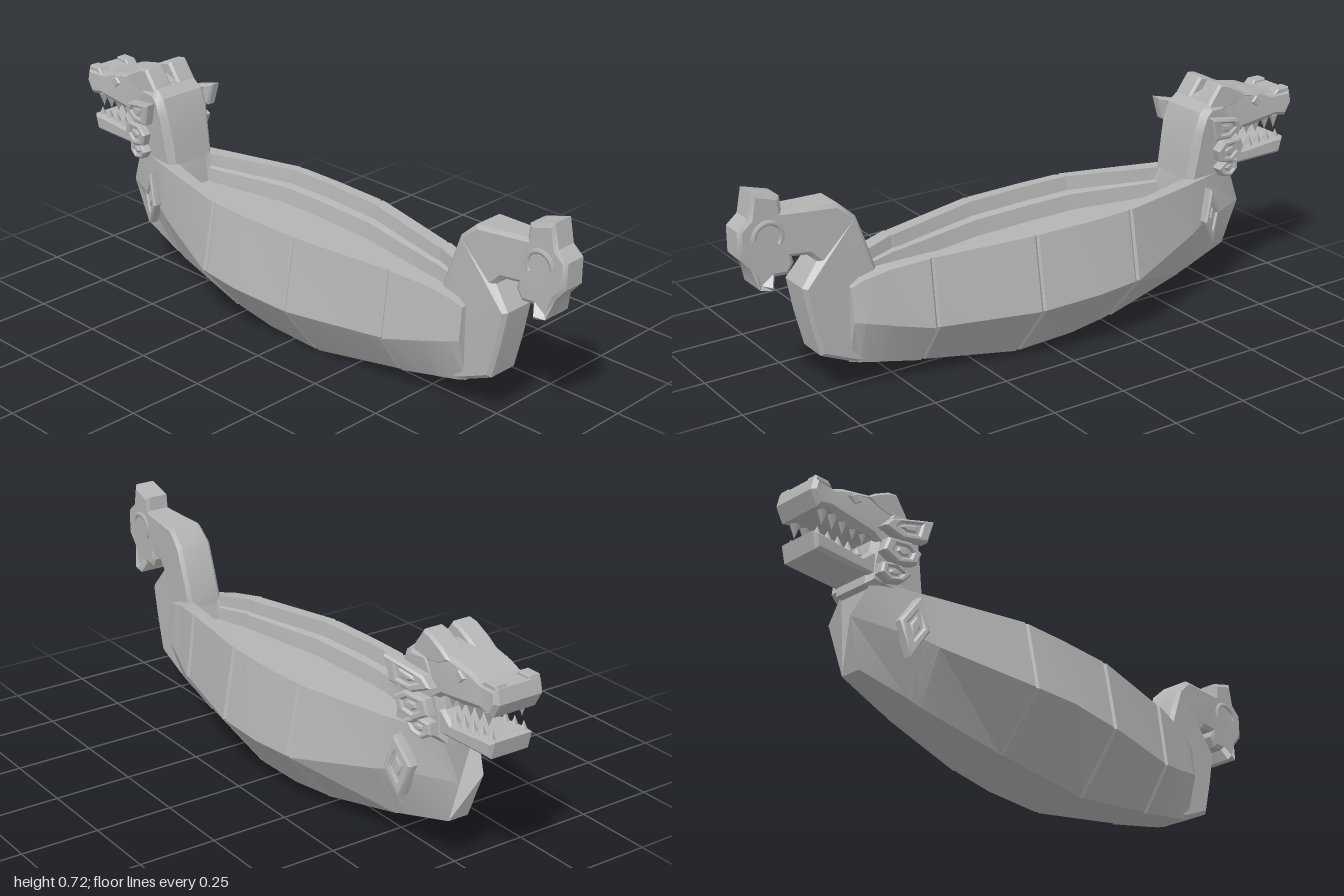
import * as THREE from 'three';
import { toCreasedNormals } from 'three/addons/utils/BufferGeometryUtils.js';

const grey = new THREE.MeshStandardMaterial({ color: 0xb4b4b4 });
grey.name = 'plain grey';

function add(group, name, geometry) {
  const mesh = new THREE.Mesh(geometry, grey);
  mesh.name = name;
  group.add(mesh);
  return mesh;
}

// Side outline of [z, y] points, extruded across x and then shaped by move(x, y, z) => x
function slab(points, halfWidth, bevel, move, hole) {
  const toShape = (list, Type) => new Type(list.map(([z, y]) => new THREE.Vector2(z, y)));
  const outline = toShape(points, THREE.Shape);
  if (hole) outline.holes.push(toShape(hole, THREE.Path));
  const depth = 2 * (halfWidth - bevel);
  const geo = new THREE.ExtrudeGeometry(outline, {
    depth, bevelEnabled: bevel > 0, bevelThickness: bevel, bevelSize: bevel, bevelOffset: -bevel, bevelSegments: 1,
  });
  geo.translate(0, 0, -depth / 2);
  geo.rotateY(-Math.PI / 2);
  if (move) {
    const p = geo.attributes.position;
    for (let i = 0; i < p.count; i++) p.setX(i, move(p.getX(i), p.getY(i), p.getZ(i)));
  }
  return toCreasedNormals(geo, 0.5);
}

function shrink(points, k) {
  const cz = points.reduce((s, p) => s + p[0], 0) / points.length;
  const cy = points.reduce((s, p) => s + p[1], 0) / points.length;
  return points.map(([z, y]) => [cz + (z - cz) * k, cy + (y - cy) * k]);
}

// Hull: keel, chine, rim, inner ledge and floor lofted along z
function hullGeometry() {
  // z, keel y/half width, chine y/half width, rim y/half width, inner half width, well depth, z shifts
  const stations = [
    [-0.76, 0.145, 0.035, 0.29, 0.045, 0.42, 0.065, 0.04, 0, [0, -0.05, 0.01]],
    [-0.6, 0.105, 0.06, 0.27, 0.118, 0.42, 0.105, 0.065, 0],
    [-0.565, 0.095, 0.062, 0.26, 0.132, 0.42, 0.115, 0.07, 0],
    [-0.55, 0.09, 0.065, 0.255, 0.138, 0.42, 0.12, 0.07, 0.09],
    [-0.25, 0.03, 0.095, 0.2, 0.238, 0.423, 0.195, 0.16, 0.1],
    [-0.1, 0.012, 0.1, 0.195, 0.25, 0.42, 0.2, 0.165, 0.1],
    [0.1, 0, 0.092, 0.185, 0.235, 0.418, 0.195, 0.155, 0.1],
    [0.43, 0.05, 0.07, 0.19, 0.162, 0.402, 0.135, 0.09, 0.09],
    [0.56, 0.075, 0.06, 0.215, 0.125, 0.385, 0.105, 0.055, 0.08],
    [0.575, 0.078, 0.06, 0.22, 0.122, 0.38, 0.102, 0.05, 0],
    [0.64, 0.092, 0.055, 0.235, 0.105, 0.365, 0.09, 0.045, 0],
    [0.67, 0.1, 0.05, 0.24, 0.088, 0.345, 0.078, 0.04, 0],
  ];
  // Narrow grooves where the plank panels meet
  const rings = [];
  for (const s of stations) {
    if (![-0.25, 0.1, 0.43].includes(s[0])) { rings.push(s); continue; }
    const groove = s.map((v, i) => ([2, 4, 6].includes(i) ? v - 0.006 : v));
    for (const [dz, src] of [[-0.008, s], [0, groove], [0.008, s]]) {
      const r = src.slice();
      r[0] += dz;
      rings.push(r);
    }
  }
  const pos = [], index = [], N = 14;
  for (const [z, yb, wb, yc, wc, yt, wt, wi, d, dz = [0, 0, 0]] of rings) {
    const half = [
      [wb, yb, dz[0]], [wc, yc, dz[1]], [wt, yt, dz[2]], [wi, yt, dz[2]],
      [wi * 0.95, yt - d * 0.45, dz[2]], [wi * 0.78, yt - d * 0.5, dz[2]], [wi * 0.72, yt - d, dz[2]],
    ];
    half.forEach(([x, y, s]) => pos.push(x, y, z + s));
    half.slice().reverse().forEach(([x, y, s]) => pos.push(-x, y, z + s));
  }
  for (let i = 0; i < rings.length - 1; i++) {
    for (let j = 0; j < N; j++) {
      const a = i * N + j, b = i * N + (j + 1) % N;
      index.push(a, b, b + N, a, b + N, a + N);
    }
  }
  const last = (rings.length - 1) * N;
  for (let j = 1; j < N - 1; j++) {
    index.push(0, j + 1, j);
    index.push(last, last + j, last + j + 1);
  }
  const geo = new THREE.BufferGeometry();
  geo.setAttribute('position', new THREE.Float32BufferAttribute(pos, 3));
  geo.setIndex(index);
  return toCreasedNormals(geo, 0.25);
}

// Framed plate on one side of the hull or neck, leaning along z
function framedPlate(group, name, side, points, x0, lean, half) {
  const zMid = points.reduce((s, p) => s + p[0], 0) / points.length;
  const place = (x, y, z) => x + side * (x0 + lean * (z - zMid));
  add(group, name + 'Frame', slab(points, half, 0.006, place, shrink(points, 0.5)));
  add(group, name + 'Panel', slab(shrink(points, 0.7), half * 0.6, 0, place));
  add(group, name + 'Boss', slab(shrink(points, 0.34), half * 0.9, 0.005, place));
}

export function createModel() {
  const boat = new THREE.Group();
  boat.name = 'dragonBoat';
  add(boat, 'hull', hullGeometry());

  // Stern post rising into a curled tail
  const tail = new THREE.Group();
  tail.name = 'tail';
  boat.add(tail);
  add(tail, 'sternPost', slab([
    [0.57, 0.37], [0.6, 0.46], [0.635, 0.555], [0.69, 0.605], [0.785, 0.61], [0.86, 0.615], [0.865, 0.66],
    [0.95, 0.685], [0.965, 0.61], [1, 0.58], [1, 0.5], [0.965, 0.46], [0.945, 0.395], [0.905, 0.385],
    [0.89, 0.42], [0.85, 0.418], [0.83, 0.45], [0.835, 0.47], [0.785, 0.465], [0.76, 0.44], [0.815, 0.37],
    [0.795, 0.265], [0.765, 0.145], [0.645, 0.092], [0.58, 0.1],
  ], 0.062, 0.012, (x, y, z) => x * (y < 0.4 ? 1 : THREE.MathUtils.clamp(1 - (z - 0.66) * 1.7, 0.66, 1))));
  for (const s of [-1, 1]) {
    const curl = new THREE.TorusGeometry(0.045, 0.009, 5, 14, Math.PI * 1.2);
    curl.rotateY(-Math.PI / 2);
    add(tail, 'tailCurl', curl).position.set(s * 0.04, 0.545, 0.91);
  }

  // Neck and head
  const head = new THREE.Group();
  head.name = 'head';
  boat.add(head);
  add(head, 'neck', slab([
    [-0.56, 0.38], [-0.572, 0.48], [-0.59, 0.58], [-0.61, 0.635], [-0.64, 0.66], [-0.71, 0.66],
    [-0.755, 0.58], [-0.77, 0.48], [-0.775, 0.4],
  ], 0.1, 0.02, (x, y, z) => x * (1 - Math.max(0, -0.62 - z) * 1.2) * (y < 0.5 ? 0.92 : 1)));
  add(head, 'upperJaw', slab([
    [-0.63, 0.62], [-0.655, 0.665], [-0.72, 0.685], [-0.77, 0.68], [-0.88, 0.66], [-0.915, 0.645],
    [-0.99, 0.648], [-1, 0.605], [-0.975, 0.56], [-0.93, 0.57], [-0.85, 0.55], [-0.77, 0.55], [-0.7, 0.5],
  ], 0.085, 0.012, (x, y, z) => x * (z < -0.8 && z > -0.92 ? 0.9 : 1)));
  add(head, 'lowerJaw', slab([
    [-0.7, 0.44], [-0.76, 0.428], [-0.965, 0.432], [-0.978, 0.485], [-0.94, 0.487], [-0.8, 0.475],
    [-0.765, 0.505], [-0.71, 0.52],
  ], 0.075, 0.01));

  for (const s of [-1, 1]) {
    add(head, 'brow', slab([
      [-0.625, 0.62], [-0.645, 0.665], [-0.685, 0.72], [-0.715, 0.715], [-0.765, 0.69], [-0.8, 0.665], [-0.76, 0.64],
    ], 0.037, 0.008, (x) => x + s * 0.05));
    add(head, 'nostril', slab([
      [-0.925, 0.64], [-0.94, 0.657], [-0.985, 0.657], [-0.99, 0.64],
    ], 0.02, 0.004, (x) => x + s * 0.058));
    add(head, 'eye', slab([
      [-0.82, 0.635], [-0.84, 0.655], [-0.868, 0.637], [-0.845, 0.615],
    ], 0.012, 0.004, (x) => x + s * 0.076));

    // Teeth along both jaws
    for (let i = 0; i < 5; i++) {
      const z = -0.79 - i * 0.038;
      const upper = add(head, 'upperTooth', new THREE.ConeGeometry(0.016, 0.045, 5));
      upper.rotation.x = Math.PI;
      upper.position.set(s * 0.058, 0.542, z);
      add(head, 'lowerTooth', new THREE.ConeGeometry(0.015, 0.036, 5)).position.set(s * 0.056, 0.495, z - 0.012);
    }

    // Cheek frills
    framedPlate(head, 'upperFrill', s, [
      [-0.6, 0.635], [-0.65, 0.625], [-0.735, 0.605], [-0.76, 0.575], [-0.7, 0.548], [-0.62, 0.56],
    ], 0.122, 0.24, 0.018);
    framedPlate(head, 'middleFrill', s, [
      [-0.635, 0.52], [-0.67, 0.545], [-0.745, 0.54], [-0.76, 0.495], [-0.71, 0.465], [-0.65, 0.48],
    ], 0.118, 0.2, 0.018);
    framedPlate(head, 'lowerFrill', s, [
      [-0.655, 0.45], [-0.7, 0.475], [-0.75, 0.465], [-0.755, 0.43], [-0.725, 0.41], [-0.68, 0.42],
    ], 0.1, 0.2, 0.018);

    // Diamond shield on the bow
    framedPlate(boat, 'bowShield', s, [
      [-0.595, 0.285], [-0.625, 0.39], [-0.68, 0.305], [-0.645, 0.2],
    ], 0.112, 0.4, 0.02);
  }
  return boat;
}
